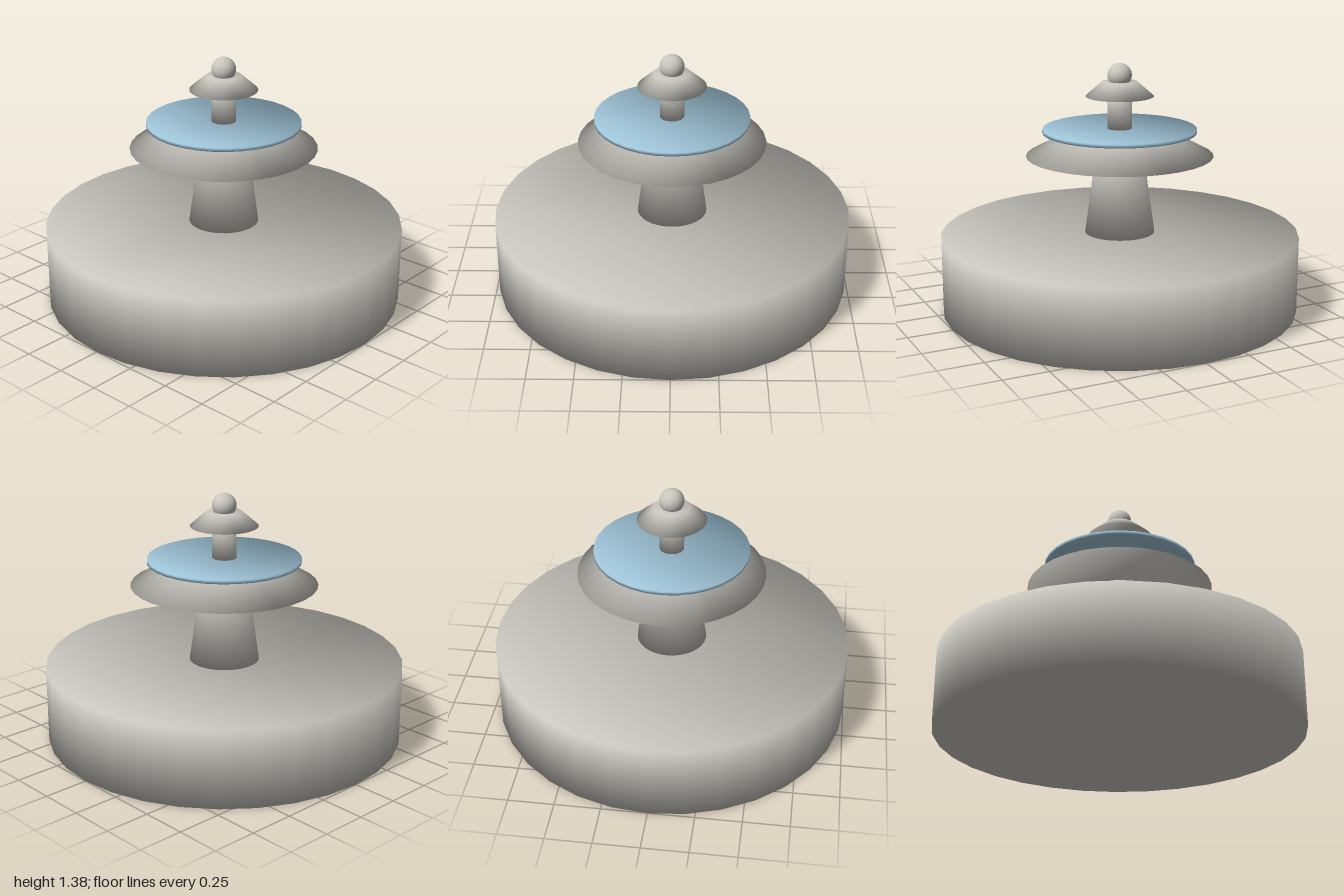
import * as THREE from 'three';

const SIDES = 32;

// Solid frustum whose normals run smoothly from the side over the rims onto flat caps.
function softFrustum(rBottom, rTop, y0, y1) {
  const pos = [], nor = [], index = [];
  const side = new THREE.Vector2(y1 - y0, rBottom - rTop).normalize();
  [[rBottom, y0, -1], [rTop, y1, 1]].forEach(([r, y, up]) => {
    const n = new THREE.Vector2(side.x, side.y + up).normalize();
    for (let i = 0; i < SIDES; i++) {
      const a = (i / SIDES) * Math.PI * 2, s = Math.sin(a), c = Math.cos(a);
      pos.push(r * s, y, r * c);
      nor.push(n.x * s, n.y, n.x * c);
    }
  });
  for (let i = 0; i < SIDES; i++) {
    const j = (i + 1) % SIDES;
    index.push(i, j, SIDES + j, i, SIDES + j, SIDES + i);
    // caps fan out from the first rim corner
    if (i > 0 && j > 0) index.push(0, j, i, SIDES, SIDES + i, SIDES + j);
  }
  const geometry = new THREE.BufferGeometry();
  geometry.setAttribute('position', new THREE.Float32BufferAttribute(pos, 3));
  geometry.setAttribute('normal', new THREE.Float32BufferAttribute(nor, 3));
  geometry.setIndex(index);
  return geometry;
}

export function createModel() {
  const group = new THREE.Group();
  group.name = 'fountain';
  const stone = new THREE.MeshStandardMaterial({ color: 0xc8c5be });
  stone.name = 'stone';
  const water = new THREE.MeshStandardMaterial({ color: 0x9fc4d8 });
  water.name = 'water';

  const add = (name, geometry, material) => {
    const mesh = new THREE.Mesh(geometry, material);
    mesh.name = name;
    group.add(mesh);
    return mesh;
  };

  // name, bottom radius, top radius, bottom y, top y, material
  [
    ['basin', 1, 1, 0, 0.43, stone],
    ['column', 0.195, 0.133, 0.43, 0.87, stone],
    ['middleTier', 0.52, 0.275, 0.87, 1.0, stone],
    ['waterDisc', 0.427, 0.427, 1.0, 1.02, water],
    ['upperPost', 0.067, 0.067, 1.02, 1.2, stone],
    ['upperTier', 0.188, 0.097, 1.2, 1.28, stone],
  ].forEach(([name, r0, r1, y0, y1, material]) =>
    add(name, softFrustum(r0, r1, y0, y1), material));

  // ball on top
  add('finial', new THREE.SphereGeometry(0.067, 32, 16), stone).position.y = 1.315;

  return group;
}
